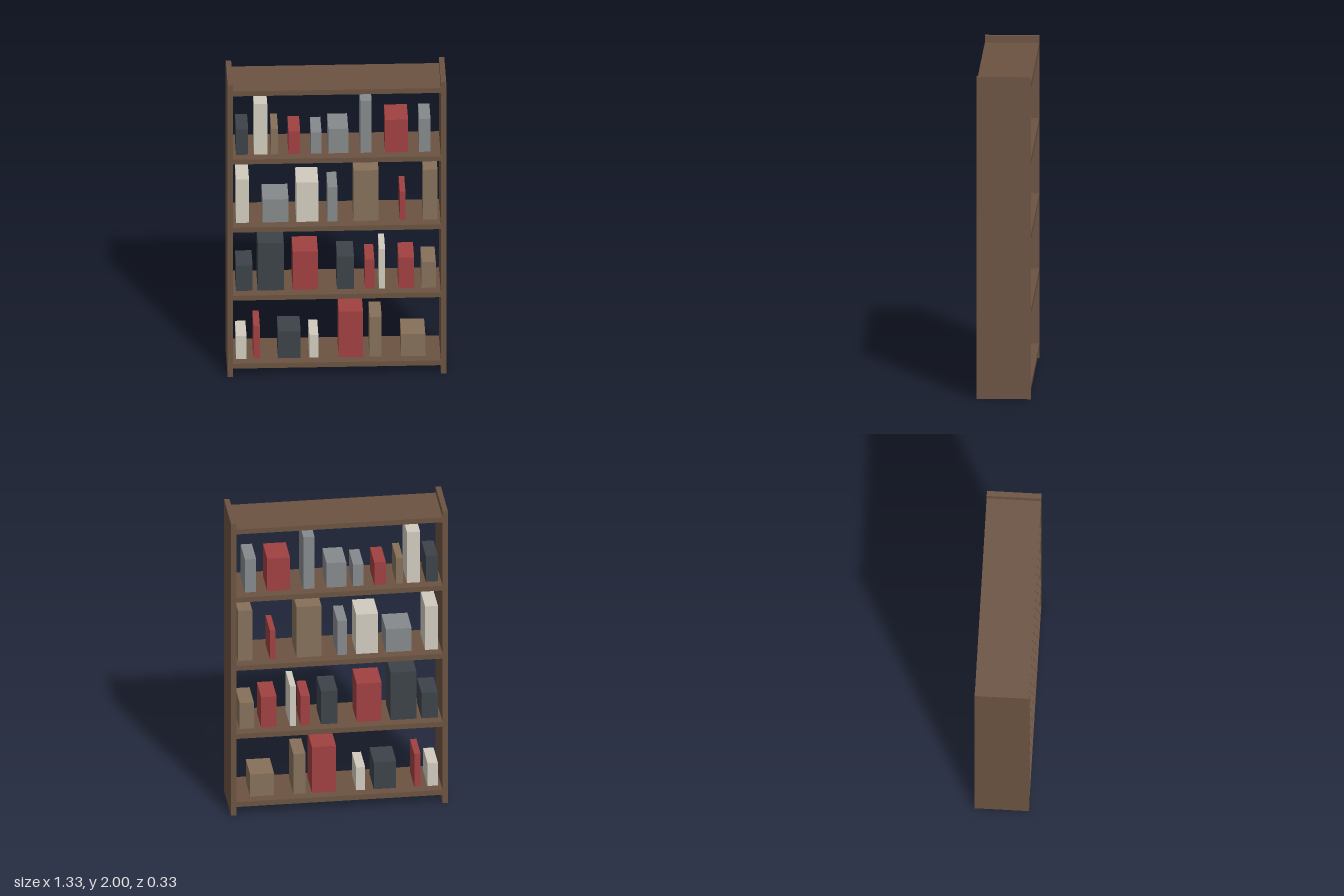
import * as THREE from 'three';

const material = (color) => new THREE.MeshStandardMaterial({ color, flatShading: true });

// Overall frame dimensions
const WIDTH = 1.333, HEIGHT = 2, DEPTH = 0.333, BOARD = 0.033;
const BOOK_DEPTH = 0.205;
const SHELF_TOPS = [0.09, 0.557, 1.024, 1.491, 1.959];

// Each book: [left x, right x, top y, colour], listed per shelf from the bottom up
const BOOKS = [
  [[-0.613, -0.549, 0.246, 'cream'], [-0.507, -0.468, 0.313, 'red'], [-0.357, -0.219, 0.273, 'navy'],
    [-0.166, -0.111, 0.246, 'cream'], [0.013, 0.161, 0.403, 'red'], [0.201, 0.275, 0.363, 'brown'],
    [0.394, 0.541, 0.241, 'brown']],
  [[-0.613, -0.512, 0.729, 'navy'], [-0.481, -0.322, 0.882, 'navy'], [-0.267, -0.114, 0.819, 'red'],
    [0.003, 0.106, 0.781, 'navy'], [0.174, 0.23, 0.758, 'red'], [0.259, 0.296, 0.829, 'cream'],
    [0.378, 0.473, 0.766, 'red'], [0.518, 0.605, 0.734, 'brown']],
  [[-0.613, -0.534, 1.322, 'cream'], [-0.452, -0.293, 1.181, 'gray'], [-0.246, -0.111, 1.293, 'cream'],
    [-0.055, 0.005, 1.258, 'gray'], [0.103, 0.256, 1.37, 'brown'], [0.386, 0.42, 1.221, 'red'],
    [0.528, 0.615, 1.367, 'brown']],
  [[-0.613, -0.539, 1.666, 'navy'], [-0.504, -0.423, 1.838, 'cream'], [-0.399, -0.357, 1.664, 'brown'],
    [-0.293, -0.222, 1.645, 'red'], [-0.156, -0.092, 1.637, 'gray'], [-0.05, 0.071, 1.658, 'gray'],
    [0.145, 0.214, 1.846, 'gray'], [0.296, 0.436, 1.714, 'red'], [0.504, 0.573, 1.717, 'gray']],
];

export function createModel() {
  const model = new THREE.Group();
  model.name = 'bookcase';

  const wood = material(0x6b5341);
  const covers = {
    red: material(0xa04040),
    navy: material(0x3c4248),
    cream: material(0xd0cbbd),
    gray: material(0x86898b),
    brown: material(0x86705a),
  };

  // Box given by its x and y ranges and its depth, centred on z = 0
  const addBox = (parent, name, x0, x1, y0, y1, depth, mat) => {
    const mesh = new THREE.Mesh(new THREE.BoxGeometry(x1 - x0, y1 - y0, depth), mat);
    mesh.position.set((x0 + x1) / 2, (y0 + y1) / 2, 0);
    mesh.name = name;
    parent.add(mesh);
  };

  // Side panels
  const outer = WIDTH / 2, inner = outer - BOARD;
  addBox(model, 'leftPanel', inner, outer, 0, HEIGHT, DEPTH, wood);
  addBox(model, 'rightPanel', -outer, -inner, 0, HEIGHT, DEPTH, wood);

  // Shelves, the highest one closing the top
  SHELF_TOPS.forEach((top, i) => {
    const name = i === SHELF_TOPS.length - 1 ? 'topBoard' : `shelf${i + 1}`;
    addBox(model, name, -inner, inner, top - BOARD, top, DEPTH, wood);
  });

  // Books standing on each shelf
  BOOKS.forEach((row, i) => {
    const books = new THREE.Group();
    books.name = `booksOnShelf${i + 1}`;
    row.forEach(([x0, x1, top, color], j) => {
      addBox(books, `book${j + 1}`, x0, x1, SHELF_TOPS[i], top, BOOK_DEPTH, covers[color]);
    });
    model.add(books);
  });

  return model;
}
